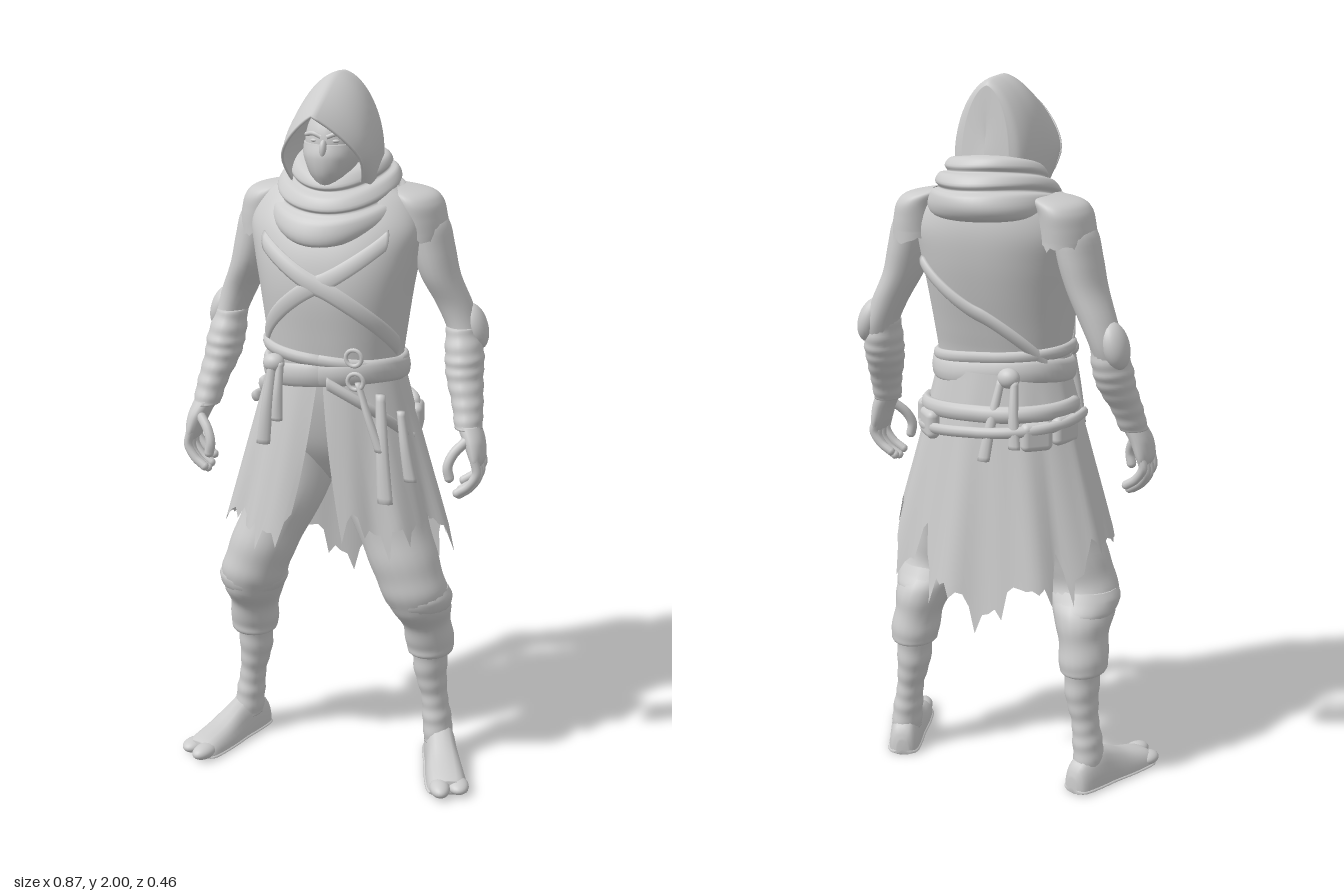
import * as THREE from 'three';
import { mergeGeometries } from 'three/addons/utils/BufferGeometryUtils.js';
import { RoundedBoxGeometry } from 'three/addons/geometries/RoundedBoxGeometry.js';

const grey = new THREE.MeshStandardMaterial({ color: 0xcccccc, side: THREE.DoubleSide });
grey.name = 'plain light grey';
const TAU = Math.PI * 2;
const { sin, cos, abs, sign, max, PI } = Math;

let seed = 7;
const rand = () => (seed = (seed * 16807) % 2147483647) / 2147483647;

// Smoothly resample rows of numbers (Catmull-Rom)
function smooth(rows, n) {
  const at = i => rows[Math.min(max(i, 0), rows.length - 1)];
  return Array.from({ length: n + 1 }, (_, k) => {
    const u = (k / n) * (rows.length - 1), i = Math.min(Math.floor(u), rows.length - 2), t = u - i;
    return rows[0].map((_, c) => {
      const [a, b, d, e] = [at(i - 1)[c], at(i)[c], at(i + 1)[c], at(i + 2)[c]];
      return 0.5 * (2 * b + (d - a) * t + (2 * a - 5 * b + 4 * d - e) * t * t + (3 * b - a - 3 * d + e) * t * t * t);
    });
  });
}

// Skin a list of rings; rings run from top to bottom
function loft(rings, closed = true, caps = true) {
  const n = rings[0].length, pos = rings.flat(2), idx = [];
  for (let i = 0; i < rings.length - 1; i++)
    for (let j = 0; j < (closed ? n : n - 1); j++) {
      const a = i * n + j, b = i * n + (j + 1) % n;
      idx.push(a, a + n, b, b, a + n, b + n);
    }
  if (caps) [0, rings.length - 1].forEach((r, k) => {
    const m = pos.length / 3;
    pos.push(...[0, 1, 2].map(c => rings[r].reduce((s, p) => s + p[c], 0) / n));
    for (let j = 0; j < n; j++) {
      const a = r * n + j, b = r * n + (j + 1) % n;
      k ? idx.push(a, m, b) : idx.push(a, b, m);
    }
  });
  const g = new THREE.BufferGeometry();
  g.setAttribute('position', new THREE.Float32BufferAttribute(pos, 3));
  g.setIndex(idx);
  g.computeVertexNormals();
  return g;
}

// Limb from rows [x, y, z, rx, rz]; wrap adds slanted bandage ridges
function limb(rows, { n = 28, sides = 20, wrap = 0, turns = 5, slant = 0.8, caps = true, hem = 0 } = {}) {
  return loft(smooth(rows, n).map(([x, y, z, rx, rz], i) => Array.from({ length: sides }, (_, j) => {
    const a = j / sides * TAU, k = 1 + wrap * sin(i / n * turns * TAU + slant * sin(a + 0.6));
    return [x + rx * k * sin(a), y - (i === n ? hem * rand() : 0), z + rz * k * cos(a)];
  })), true, caps);
}

// Thin rounded tube with a round tip
function rod(points, r) {
  const curve = new THREE.CatmullRomCurve3(points.map(p => new THREE.Vector3(...p)));
  const tip = new THREE.SphereGeometry(r, 10, 8).translate(...points.at(-1));
  return mergeGeometries([new THREE.TubeGeometry(curve, 24, r, 10), tip]);
}

const blob = (x, y, z, rx, ry, rz) => new THREE.SphereGeometry(1, 24, 18).scale(rx, ry, rz).translate(x, y, z);

// Torso rows [y, half width, front z, back z]
const TORSO = smooth([[1.75, 0.08, 0.03, -0.12], [1.71, 0.145, 0.055, -0.165], [1.67, 0.205, 0.085, -0.185], [1.6, 0.238, 0.13, -0.195],
  [1.52, 0.228, 0.163, -0.187], [1.43, 0.212, 0.175, -0.167], [1.32, 0.197, 0.165, -0.137], [1.23, 0.187, 0.155, -0.117],
  [1.12, 0.185, 0.145, -0.13], [1.0, 0.165, 0.115, -0.125], [0.92, 0.11, 0.07, -0.09], [0.87, 0.03, 0.03, -0.04]], 55);
function onTorso(y, a, out = 0) {
  const i = max(1, TORSO.findIndex(r => r[0] <= y + 1e-9));
  const p = TORSO[i - 1], q = TORSO[i], t = (p[0] - y) / (p[0] - q[0]);
  const [, rx, zf, zb] = p.map((v, c) => v + (q[c] - v) * t);
  const c = cos(a), s = sin(a);
  return [sign(s) * abs(s) ** 0.85 * (rx + out), y, sign(c) * abs(c) ** 0.9 * ((c > 0 ? zf : -zb) + out)];
}
// Cloth band lying on the torso, its height a function of the angle
function band(yAt, a0, a1, half, thick, out = 0) {
  return loft(Array.from({ length: 49 }, (_, i) => {
    const a = a0 + (a1 - a0) * i / 48;
    return Array.from({ length: 10 }, (_, j) => {
      const b = j / 10 * TAU, y = yAt(a, i / 48) + half * sin(b);
      return onTorso(y, a, out + thick * cos(b));
    });
  }));
}

// Ragged skirt, open at the front
function skirt() {
  const N = 110, R = 16, hems = [];
  for (let j = 0; j <= N; j++) {
    const a = j / N * TAU, back = max(0, -cos(a)) ** 1.6;
    const slit = max(0, 1 - abs(a - 2.55) / 0.1) * 0.14 + max(0, 1 - abs(a - 4.0) / 0.08) * 0.08;
    const tear = 0.022 * sin(a * 7 + 1) + 0.015 * sin(a * 13);
    hems.push(0.8 - 0.2 * back - 0.05 * (a > PI) * abs(sin(a)) + slit + tear - (j % 4 ? 0.022 : 0.09) * rand());
  }
  return loft(Array.from({ length: R + 1 }, (_, i) => hems.map((hem, j) => {
    const t = i / R, gap = 0.03 + 0.22 * t, a = gap + (TAU - 2 * gap) * j / N;
    const y = 1.21 + (hem - 1.21) * t, d = 1.21 - y, fold = 0.01 * t * sin(9 * a) + 0.004 * t * sin(17 * a + 1);
    const rx = 0.19 + 0.28 * d + fold, rz = (cos(a) > 0 ? 0.155 + 0.13 * d : 0.14 + 0.135 * d) + fold;
    return [rx * sin(a), y, rz * cos(a)];
  })), false, false);
}

export function createModel() {
  const model = new THREE.Group();
  const add = (name, geo, parent = model) => {
    const m = new THREE.Mesh(geo, grey);
    m.name = name;
    parent.add(m);
    return m;
  };

  // Torso and wrapped tunic
  add('tunic', loft(TORSO.map(([y]) => Array.from({ length: 96 }, (_, j) => onTorso(y, j / 96 * TAU)))));
  add('chestWrap', band((a, t) => 1.26 + 0.32 * t, -1.3, 0.75, 0.028, 0.007));
  add('chestWrap', band((a, t) => 1.56 - 0.28 * t, -0.75, 1.3, 0.028, 0.009));
  add('backStrap', band((a, t) => 1.5 - 0.26 * t, 2.3, 4.1, 0.022, 0.012, 0.003));

  // Head with face mask
  add('neck', limb([[0, 1.78, -0.01, 0.055, 0.06], [0, 1.62, -0.04, 0.075, 0.08]]));
  add('head', blob(0, 1.82, 0.03, 0.075, 0.105, 0.09));
  add('faceMask', limb([[0, 1.825, 0.045, 0.074, 0.08], [0, 1.79, 0.045, 0.075, 0.09], [0, 1.745, 0.045, 0.058, 0.084], [0, 1.705, 0.05, 0.03, 0.055]]));
  add('nose', blob(0, 1.812, 0.122, 0.011, 0.026, 0.015));
  for (const s of [1, -1]) {
    add('brow', rod([[s * 0.008, 1.844, 0.115], [s * 0.03, 1.852, 0.111], [s * 0.055, 1.847, 0.093]], 0.006));
    add('eye', blob(s * 0.028, 1.834, 0.107, 0.012, 0.005, 0.008));
  }

  // Hood: arches from the pointed front rim to the back [width, centre y, centre z, apex y, apex z, pointedness]
  const hood = smooth([[0.108, 1.785, 0.135, 1.912, 0.222, 1], [0.121, 1.79, 0.085, 1.955, 0.13, 0.6], [0.122, 1.79, 0.01, 1.998, 0.03, 0.3],
    [0.115, 1.79, -0.055, 2, -0.045, 0.25], [0.095, 1.79, -0.097, 1.993, -0.088, 0.25], [0.068, 1.79, -0.114, 1.978, -0.103, 0.2]], 34)
    .map(([w, yc, zc, ya, za, p]) => Array.from({ length: 41 }, (_, k) => {
      const a = -0.45 + (PI + 0.9) * k / 40, c = cos(a), s = sin(a);
      const h = s > 0 ? s + p * (1 - abs(c) - s) * 0.55 : s;
      return [w * c, yc + (ya - yc) * h, zc + (za - zc) * h];
    }));
  // shrink the last arch on to the middle of the back
  for (const k of [0.5, 0]) hood.push(hood[34].map(([x, y, z]) => [x * k, 1.8 + (y - 1.8) * (0.3 + 0.7 * k), z - 0.006 * (1 - k)]));
  add('hood', loft(hood, false, false));
  add('hoodRim', rod(hood[0], 0.004));

  // Draped cowl, lower at the front
  const cowl = smooth([[0.1, 1.785], [0.128, 1.78], [0.143, 1.76], [0.137, 1.745], [0.16, 1.74], [0.175, 1.718],
    [0.167, 1.702], [0.188, 1.692], [0.197, 1.662], [0.185, 1.632], [0.15, 1.615]], 40);
  add('cowl', loft(cowl.map(([r, y]) => Array.from({ length: 56 }, (_, j) => {
    const a = j / 56 * TAU, q = r + 0.004 * sin(3 * a + y * 40);
    const z = q * cos(a);
    return [q * sin(a) * 0.96, y - 0.22 * z - 1.0 * z * z + 0.005 * sin(2 * a + 1), z * 1.02 - 0.034];
  })), true, false));

  // Waist sashes and belts
  add('skirt', skirt());
  add('sash', band(a => 1.21 + 0.012 * sin(a * 2), 0, TAU, 0.034, 0.016, 0.004));
  add('upperSash', band(a => 1.25 - 0.02 * sin(a), 0, TAU, 0.018, 0.013, 0.002));
  add('hipBelt', band((a, t) => 1.2 - 0.19 * t, 0.1, 1.45, 0.018, 0.012, 0.045));
  add('backBelt', band((a, t) => 1.02 + 0.07 * t, 1.4, 4.8, 0.016, 0.012, 0.055));
  add('backRoll', band((a, t) => 1.09 + 0.03 * t, 1.7, 4.7, 0.024, 0.016, 0.035));

  // Pouches round the back of the hips
  for (const [a, y] of [[1.75, 1.06], [2.35, 1.05], [3.9, 1.05], [4.4, 1.06]]) {
    const m = add('pouch', new RoundedBoxGeometry(0.09, 0.08, 0.038, 4, 0.018));
    m.position.set(...onTorso(y, a, 0.045));
    m.rotation.y = a;
  }

  // Hanging cloth ends: [x, top y, z, bottom x, bottom y, bottom z, half width]
  for (const [x, y, z, bx, by, bz, w] of [[-0.13, 1.25, 0.165, -0.155, 1.01, 0.185, 0.02], [-0.11, 1.24, 0.165, -0.115, 1.08, 0.185, 0.016],
    [0.17, 1.17, 0.155, 0.2, 0.88, 0.205, 0.022], [0.22, 1.12, 0.13, 0.255, 0.93, 0.15, 0.018], [0.11, 1.2, 0.165, 0.18, 1.02, 0.19, 0.014],
    [-0.06, 1.2, -0.14, -0.03, 0.98, -0.19, 0.018], [-0.1, 1.2, -0.14, -0.115, 1.02, -0.175, 0.018]])
    add('clothEnd', limb([[x, y, z, w * 0.6, 0.012], [(x + bx) / 2, (y + by) / 2, (z + bz) / 2 + sign(z) * 0.006, w * 0.8, 0.012], [bx, by, bz, w, 0.01]], { n: 12, sides: 10 }));
  add('frontKnot', blob(-0.13, 1.235, 0.16, 0.03, 0.026, 0.024));
  add('backKnot', blob(-0.08, 1.205, -0.135, 0.032, 0.028, 0.026));
  for (const [x, y] of [[0.1, 1.27], [0.105, 1.205]])
    add('beltRing', new THREE.TorusGeometry(0.022, 0.006, 8, 20)).position.set(x, y, 0.172);

  // Left limbs, mirrored for the right
  for (const s of [1, -1]) {
    const side = new THREE.Group();
    side.name = s > 0 ? 'leftLimbs' : 'rightLimbs';
    side.scale.x = s;
    model.add(side);
    const part = (name, geo) => add(name, geo, side);

    part('upperArm', limb([[0.22, 1.65, -0.06, 0.02, 0.03], [0.238, 1.61, -0.06, 0.053, 0.075], [0.253, 1.54, -0.06, 0.058, 0.08],
      [0.275, 1.46, -0.062, 0.054, 0.074], [0.312, 1.38, -0.075, 0.05, 0.06], [0.34, 1.31, -0.075, 0.045, 0.055], [0.35, 1.26, -0.06, 0.045, 0.055]]));
    part('sleeveEdge', limb([[0.14, 1.7, -0.06, 0.03, 0.06], [0.185, 1.685, -0.06, 0.062, 0.088], [0.208, 1.66, -0.06, 0.068, 0.1],
      [0.216, 1.62, -0.06, 0.072, 0.1], [0.22, 1.58, -0.06, 0.074, 0.098]], { sides: 40, caps: false, hem: 0.03 }));
    part('forearm', limb([[0.335, 1.32, -0.07, 0.042, 0.052], [0.348, 1.25, -0.055, 0.053, 0.066], [0.355, 1.19, -0.035, 0.051, 0.062],
      [0.373, 1.12, 0.0, 0.043, 0.05], [0.383, 1.06, 0.025, 0.038, 0.046]], { n: 48, wrap: 0.025, turns: 7 }));
    const pad = part('elbowPad', blob(0, 0, 0, 0.036, 0.066, 0.048));
    pad.position.set(0.368, 1.315, -0.086);
    pad.rotation.z = 0.3;

    // Hand
    part('palm', limb([[0.383, 1.07, 0.025, 0.034, 0.042], [0.402, 1.03, 0.035, 0.03, 0.05], [0.414, 0.985, 0.04, 0.022, 0.053], [0.416, 0.96, 0.04, 0.012, 0.046]]));
    for (let f = 0; f < 4; f++) {
      const z = 0.08 - f * 0.026, d = [0, 0.012, 0.006, -0.012][f];
      part('finger', rod([[0.414, 0.985, z], [0.421, 0.945 - d, z], [0.4, 0.91 - d, z + 0.004], [0.37, 0.888 - d, z + 0.008]], 0.0125));
    }
    part('thumb', rod([[0.39, 1.035, 0.065], [0.358, 1, 0.088], [0.345, 0.965, 0.1], [0.35, 0.935, 0.1]], 0.014));

    // Leg: baggy trousers over a wrapped shin
    part('trouserLeg', limb([[0.1, 1.03, -0.01, 0.08, 0.105], [0.122, 0.88, 0.0, 0.113, 0.115], [0.17, 0.75, 0.025, 0.107, 0.106],
      [0.212, 0.65, 0.042, 0.1, 0.097], [0.238, 0.575, 0.04, 0.097, 0.096], [0.25, 0.515, 0.01, 0.087, 0.107], [0.262, 0.45, -0.02, 0.07, 0.086],
      [0.27, 0.385, -0.036, 0.07, 0.079], [0.27, 0.352, -0.04, 0.064, 0.073], [0.27, 0.342, -0.042, 0.045, 0.055]], { n: 60, wrap: 0.015, turns: 7, slant: 1.4 }));
    part('kneeFold', limb([[0.245, 0.58, 0.035, 0.09, 0.09], [0.246, 0.555, 0.03, 0.1, 0.1], [0.25, 0.525, 0.015, 0.092, 0.104], [0.252, 0.505, 0.0, 0.08, 0.09]]));
    part('shin', limb([[0.27, 0.37, -0.04, 0.052, 0.064], [0.271, 0.28, -0.047, 0.047, 0.057], [0.283, 0.2, -0.05, 0.038, 0.047],
      [0.292, 0.13, -0.05, 0.042, 0.052], [0.298, 0.06, -0.05, 0.042, 0.055]], { n: 50, wrap: 0.025, turns: 6 }));

    // Split-toed shoe turned outward
    const foot = new THREE.Group();
    foot.name = 'foot';
    foot.position.set(0.302, 0, -0.05);
    foot.rotation.y = 0.36;
    side.add(foot);
    const shoe = smooth([[-0.078, 0.018, 0.04], [-0.06, 0.04, 0.08], [0, 0.047, 0.115], [0.06, 0.049, 0.098], [0.13, 0.056, 0.066], [0.2, 0.057, 0.046], [0.225, 0.05, 0.036]], 24);
    const shell = (grow, h) => loft(shoe.map(([z, w, top]) => Array.from({ length: 20 }, (_, j) => {
      const a = j / 20 * TAU, c = cos(a), u = sin(a);
      return [(w + grow) * sign(c) * abs(c) ** 0.7, u > 0 ? 0.005 + (h || top) * u : 0.005 * (1 + u), z];
    })));
    add('shoe', shell(0, 0), foot);
    add('sole', shell(0.004, 0.012), foot);
    add('bigToe', blob(-0.024, 0.022, 0.225, 0.029, 0.022, 0.045), foot);
    add('smallToes', blob(0.03, 0.02, 0.21, 0.031, 0.02, 0.042), foot);
  }
  return model;
}
